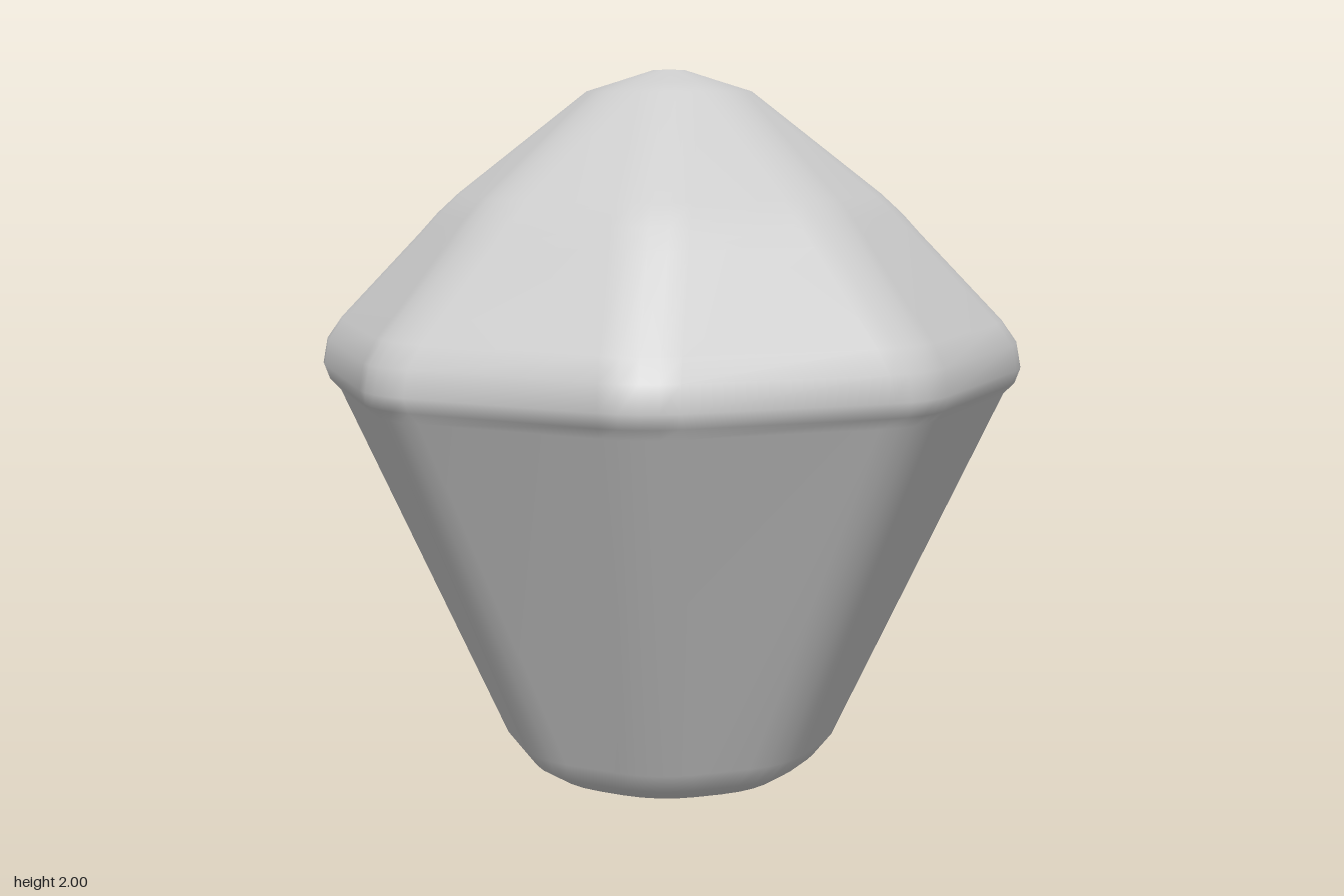
import * as THREE from 'three';
import { mergeVertices } from 'three/addons/utils/BufferGeometryUtils.js';

// Profile along a corner, bottom to top: [corner radius, height]
const PROFILE = [
  [0, 0], [0.28, 0.003], [0.36, 0.02], [0.425, 0.06], [0.475, 0.12],
  [0.94, 1.11], [0.97, 1.14], [0.985, 1.18], [0.972, 1.25], [0.93, 1.31],
  [0.70, 1.55], [0.65, 1.605], [0.59, 1.66],
  [0.23, 1.94], [0.14, 1.968], [0.045, 1.998], [0, 2],
];
const SIDES = 8;
const BEVEL = 0.1; // half-width of the rounded corners

// One octagonal ring with rounded corners, counter-clockwise from above
function ring(r, y) {
  const w = Math.min(BEVEL, r * 0.32);
  const arc = 2.613 * w; // corner arc radius, tangent to the flats
  const points = [];
  for (let s = 0; s < SIDES; s++) {
    const a = (s / SIDES) * Math.PI * 2;
    for (const k of [-1, -0.5, 0, 0.5, 1]) {
      const side = k * w;
      const out = r - (arc - Math.sqrt(arc * arc - side * side));
      points.push([
        out * Math.cos(a) - side * Math.sin(a),
        y,
        -(out * Math.sin(a) + side * Math.cos(a)),
      ]);
    }
  }
  return points;
}

// Join the rings into one smooth closed skin
function gemGeometry() {
  const rings = PROFILE.map(([r, y]) => ring(r, y));
  const n = rings[0].length;
  const index = [];
  for (let i = 0; i < rings.length - 1; i++) {
    for (let j = 0; j < n; j++) {
      const a = i * n + j, b = i * n + ((j + 1) % n);
      const c = b + n, d = a + n;
      if (i > 0) index.push(a, b, c);
      if (i < rings.length - 2 || i === 0) index.push(a, c, d);
      }
  }
  const geometry = new THREE.BufferGeometry();
  geometry.setAttribute('position', new THREE.Float32BufferAttribute(rings.flat(2), 3));
  geometry.setIndex(index);
  const merged = mergeVertices(geometry, 1e-5); // closes the two poles
  merged.computeVertexNormals();
  return merged;
}

export function createModel() {
  const group = new THREE.Group();
  group.name = 'roundedGem';
  const body = new THREE.Mesh(gemGeometry(), new THREE.MeshStandardMaterial({ color: 0xcccccc }));
  body.name = 'gemBody';
  group.add(body);
  return group;
}
